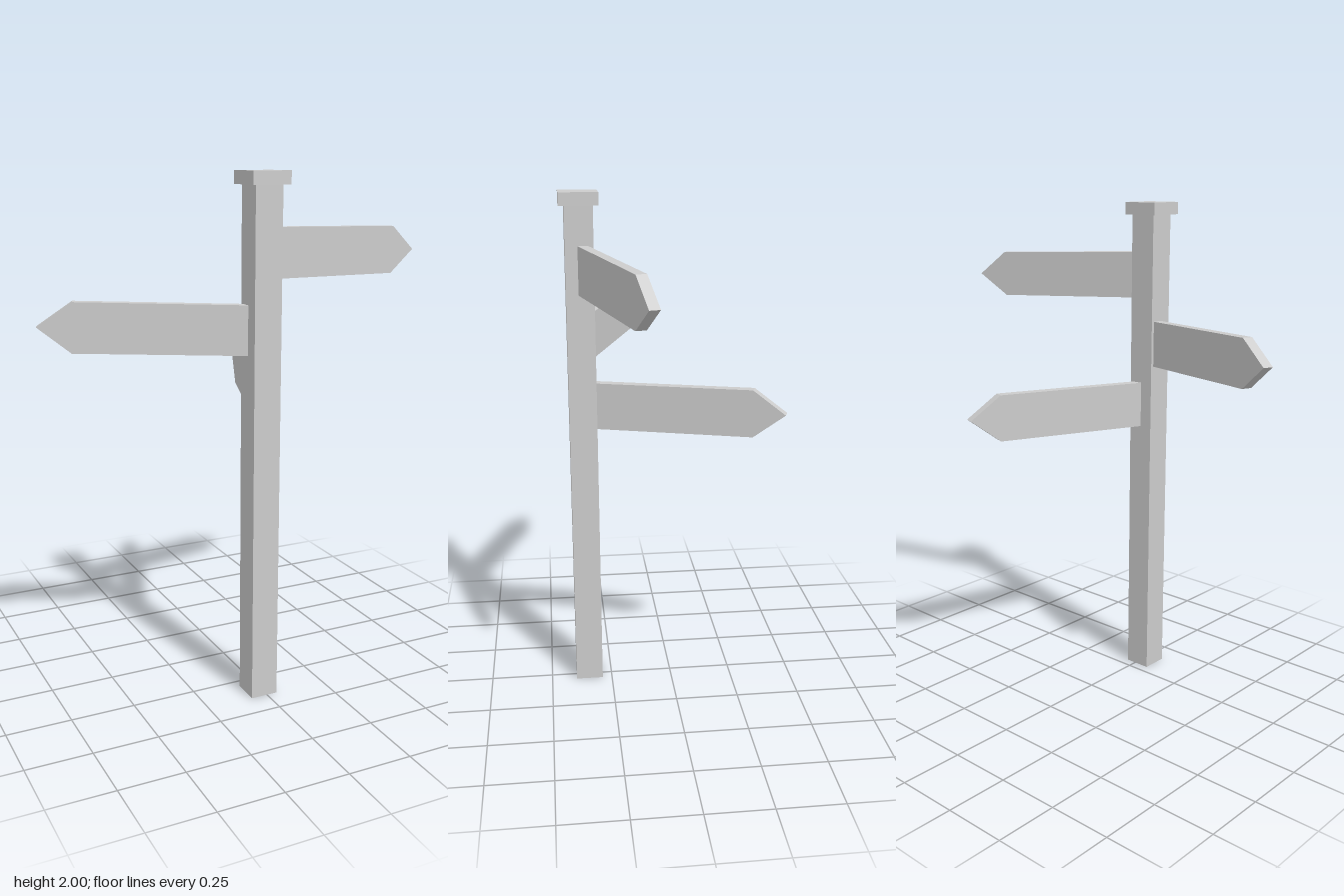
import * as THREE from 'three';

export function createModel() {
  const model = new THREE.Group();
  model.name = 'signpost';
  const grey = new THREE.MeshStandardMaterial({ color: 0xcccccc });
  grey.name = 'light grey';
  const postX = -0.012, postZ = 0.343;

  function addBox(name, width, bottom, top) {
    const mesh = new THREE.Mesh(new THREE.BoxGeometry(width, top - bottom, width), grey);
    mesh.name = name;
    mesh.position.set(postX, (bottom + top) / 2, postZ);
    model.add(mesh);
  }

  // Square post and its cap
  addBox('post', 0.108, 0, 1.952);
  addBox('postCap', 0.149, 1.952, 2);

  // Pointed board, running from the post's axis out along +x
  const half = 0.092, shoulder = 0.68, tip = 0.805, thickness = 0.04;
  const outline = new THREE.Shape([
    new THREE.Vector2(0, -half),
    new THREE.Vector2(shoulder, -half),
    new THREE.Vector2(tip, 0),
    new THREE.Vector2(shoulder, half),
    new THREE.Vector2(0, half),
  ]);
  const board = new THREE.ExtrudeGeometry(outline, { depth: thickness, bevelEnabled: false });
  board.translate(0, 0, -thickness / 2);

  // Three boards: height at the post, heading and slight tilt in degrees
  const signs = [
    ['upperSign', 1.713, 15, -2],
    ['middleSign', 1.436, 160, 1.8],
    ['lowerSign', 1.181, 70, 0.8],
  ];
  for (const [name, y, heading, tilt] of signs) {
    const sign = new THREE.Mesh(board, grey);
    sign.name = name;
    sign.position.set(postX, y, postZ);
    sign.rotation.set(0, THREE.MathUtils.degToRad(heading), THREE.MathUtils.degToRad(tilt), 'YXZ');
    model.add(sign);
  }
  return model;
}
